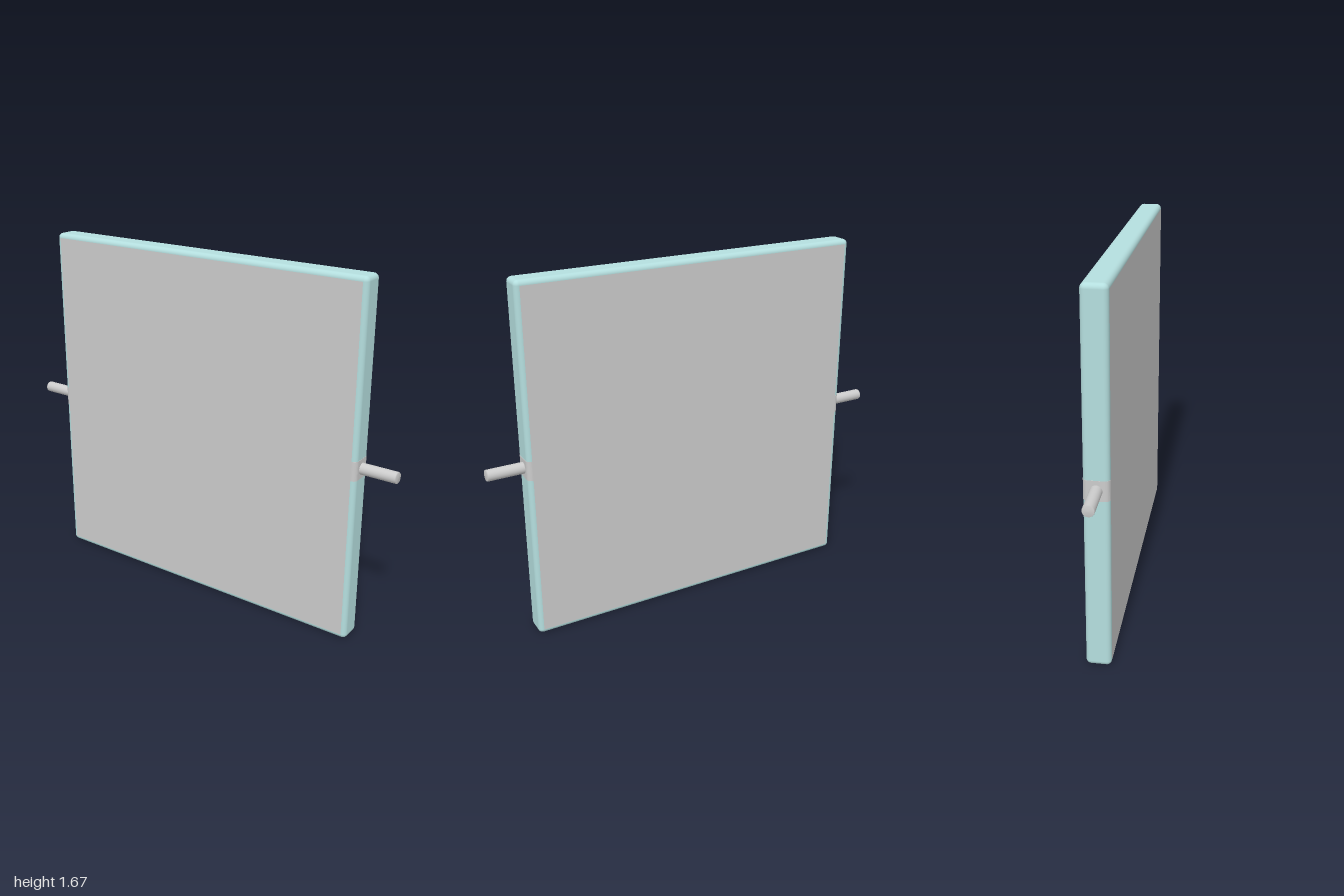
import * as THREE from 'three';
import { RoundedBoxGeometry } from 'three/addons/geometries/RoundedBoxGeometry.js';

const W = 1.66, H = 1.667, D = 0.11, R = 0.022, MID = H / 2;

export function createModel() {
  const model = new THREE.Group();
  const grey = new THREE.MeshStandardMaterial({ color: 0xcccccc });
  const teal = new THREE.MeshStandardMaterial({ color: 0xb4dede });

  const add = (name, geometry, material, x = 0, y = MID, z = 0) => {
    const mesh = new THREE.Mesh(geometry, material);
    mesh.name = name;
    mesh.position.set(x, y, z);
    model.add(mesh);
    return mesh;
  };

  // Panel body with softly rounded edges
  add('panelRim', new RoundedBoxGeometry(W, H, D, 4, R), teal);

  // Flat grey faces, front and back
  for (const s of [1, -1]) {
    const face = add(s > 0 ? 'frontFace' : 'backFace',
      new THREE.PlaneGeometry(W - 2 * R, H - 2 * R), grey, 0, MID, s * (D / 2 + 0.001));
    if (s < 0) face.rotation.y = Math.PI;
  }

  // Cross-section of the grey patch that wraps the rim where the pin enters
  const patchH = 0.09, e = 0.001, hz = D / 2 + e, depth = R + e;
  const section = new THREE.Shape();
  section.moveTo(0, -hz);
  section.absarc(0, -hz + depth, depth, -Math.PI / 2, 0, false);
  section.absarc(0, hz - depth, depth, 0, Math.PI / 2, false);
  section.closePath();
  const patchGeo = new THREE.ExtrudeGeometry(section,
    { depth: patchH, bevelEnabled: false, curveSegments: 6 });
  patchGeo.translate(0, 0, -patchH / 2).rotateX(-Math.PI / 2);

  // Pivot pin, smooth over its tip
  const r = 0.026, len = 0.19;
  const profile = [[r, 0], [r, len - 0.006], [r - 0.002, len - 0.001], [0, len]]
    .map(([x, y]) => new THREE.Vector2(x, y));
  const pinGeo = new THREE.LatheGeometry(profile, 24).rotateZ(-Math.PI / 2);

  for (const s of [1, -1]) {
    const side = s > 0 ? 'left' : 'right';
    const turn = s > 0 ? 0 : Math.PI;
    add(side + 'PinPatch', patchGeo, grey, s * (W / 2 - R)).rotation.y = turn;
    add(side + 'PivotPin', pinGeo, grey, s * (1 - len)).rotation.y = turn;
  }
  return model;
}
